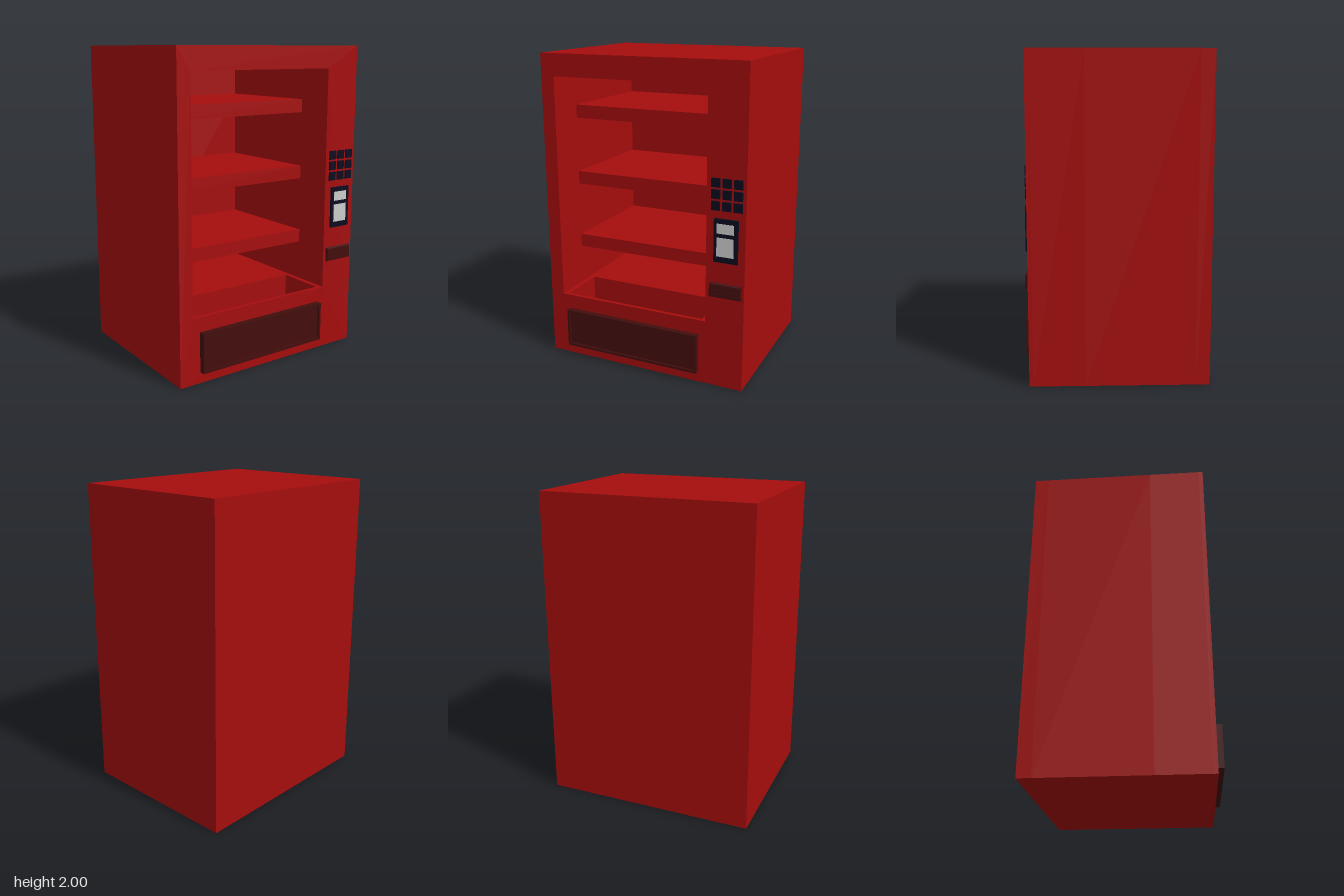
import * as THREE from 'three';

const mat = (name, color) => {
  const m = new THREE.MeshStandardMaterial({ color });
  m.name = name;
  return m;
};

export function createModel() {
  const group = new THREE.Group();
  const red = mat('cabinet red', 0xa50d0d);
  const maroon = mat('dark maroon', 0x430d0d);
  const navy = mat('navy', 0x0b0b20);
  const grey = mat('light grey', 0xcdcdcd);

  const add = (name, geometry, material) => {
    const mesh = new THREE.Mesh(geometry, material);
    mesh.name = name;
    group.add(mesh);
    return mesh;
  };
  // Box given by its limits; taper pulls the front face inwards
  const block = (name, material, x0, x1, y0, y1, z0, z1, taper = 0) => {
    const g = new THREE.BoxGeometry(x1 - x0, y1 - y0, z1 - z0);
    const p = g.attributes.position;
    for (let i = 0; i < p.count; i++) {
      if (p.getZ(i) > 0) {
        p.setX(i, p.getX(i) - Math.sign(p.getX(i)) * taper);
        p.setY(i, p.getY(i) - Math.sign(p.getY(i)) * taper);
      }
    }
    g.translate((x0 + x1) / 2, (y0 + y1) / 2, (z0 + z1) / 2);
    g.computeVertexNormals();
    return add(name, g, material);
  };
  const rect = (x0, x1, y0, y1) => [[x0, y0], [x1, y0], [x1, y1], [x0, y1]];
  const points = (list) => list.map(([x, y]) => new THREE.Vector2(x, y));
  // Outline with one hole, extruded between two depths
  const frame = (name, material, outer, hole, z0, z1) => {
    const s = new THREE.Shape(points(outer));
    s.holes.push(new THREE.Path(points(hole)));
    const g = new THREE.ExtrudeGeometry(s, { depth: z1 - z0, bevelEnabled: false });
    g.translate(0, 0, z0);
    return add(name, g, material);
  };

  // Cabinet: slices with the display opening, the middle one adding the drop chute
  const W = 0.68, L = -0.59, R = 0.435, B = 0.42, T = 1.86;
  const outer = rect(-W, W, 0, 2);
  const opening = rect(L, R, B, T);
  const chute = [[L, B], [L + 0.033, B], [L + 0.033, 0.1], [R - 0.033, 0.1],
    [R - 0.033, B], [R, B], [R, T], [L, T]];
  frame('cabinetFront', red, outer, opening, 0.5, 0.525);
  frame('cabinetChuteSection', red, outer, chute, 0.185, 0.5);
  frame('cabinetRearSection', red, outer, opening, -0.48, 0.185);
  block('cabinetBack', red, -W, W, 0, 2, -0.565, -0.48);

  // Shelves
  for (const y of [0.68, 1.123, 1.568]) {
    block('shelf', red, L, R, y, y + 0.086, -0.48, 0.28);
  }

  // Delivery flap with a raised border
  frame('deliveryFrame', maroon, rect(-0.54, 0.39, 0.072, 0.326),
    rect(-0.525, 0.375, 0.088, 0.31), 0.52, 0.565);
  block('deliveryFlap', maroon, -0.525, 0.375, 0.088, 0.31, 0.52, 0.55);

  // Keypad
  for (let row = 0; row < 3; row++) {
    for (let col = 0; col < 3; col++) {
      const x = 0.463 + col * 0.07, y = 1.137 + row * 0.069;
      block('keypadButton', navy, x, x + 0.057, y, y + 0.058, 0.52, 0.533, 0.002);
    }
  }

  // Payment panel with two light windows
  block('paymentPanel', navy, 0.483, 0.638, 0.82, 1.092, 0.52, 0.537, 0.003);
  block('displayWindow', grey, 0.505, 0.612, 1.002, 1.062, 0.534, 0.539);
  block('cardWindow', grey, 0.505, 0.612, 0.86, 0.977, 0.534, 0.539);

  // Coin return with slats
  block('coinReturn', maroon, 0.453, 0.668, 0.59, 0.69, 0.52, 0.54, 0.01);
  for (let i = 0; i < 3; i++) {
    const y = 0.609 + i * 0.023;
    block('coinReturnSlat', maroon, 0.474, 0.647, y, y + 0.015, 0.538, 0.543);
  }
  return group;
}
